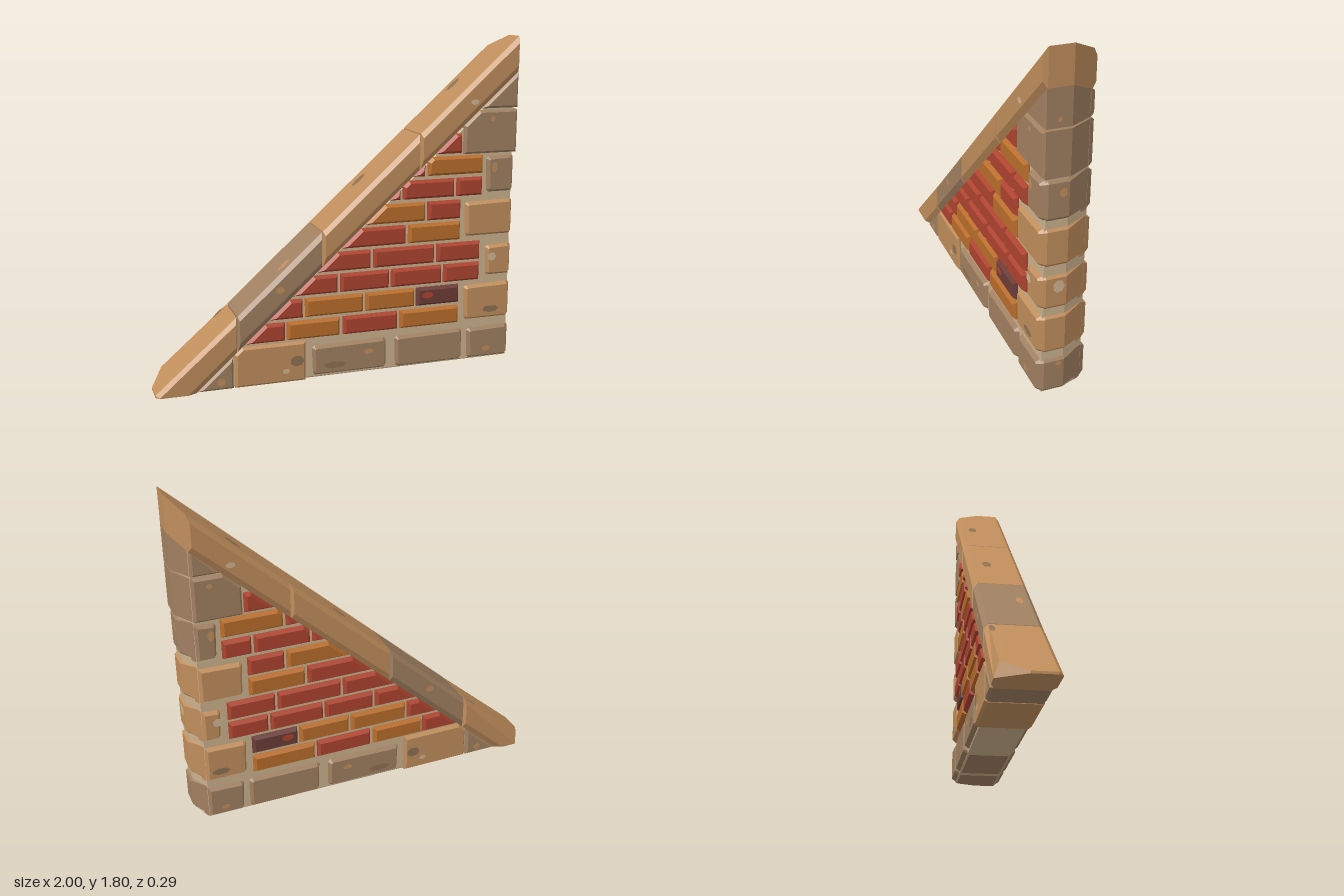
import * as THREE from 'three';

const mat = (name, color) => {
  const m = new THREE.MeshStandardMaterial({ color });
  m.name = name;
  return m;
};

const SLOPE = 0.9, UNDER = 0.71; // coping underside: y = 0.9x + 0.71
const DEPTH = { coping: 0.143, brick: 0.141, stone: 0.138, mortar: 0.115 };

// Cut a polygon off at the coping underside
function clip(pts) {
  const f = ([x, y]) => SLOPE * x + UNDER - y;
  const out = [];
  pts.forEach((p, i) => {
    const q = pts[(i + 1) % pts.length], a = f(p), b = f(q);
    if (a >= 0) out.push(p);
    if (a * b < 0) out.push([0, 1].map(k => p[k] + (q[k] - p[k]) * a / (a - b)));
  });
  return out;
}

// Move each edge of a counter-clockwise polygon inward by its own amount
function inset(pts, amounts) {
  const n = pts.length;
  const lines = pts.map((p, i) => {
    const q = pts[(i + 1) % n], l = Math.hypot(q[0] - p[0], q[1] - p[1]);
    const nx = (p[1] - q[1]) / l, ny = (q[0] - p[0]) / l;
    return [nx, ny, nx * p[0] + ny * p[1] + amounts[i]];
  });
  return pts.map((_, i) => {
    const [a, b, c] = lines[(i + n - 1) % n], [d, e, f] = lines[i];
    const det = a * e - b * d;
    return [(c * e - b * f) / det, (a * f - c * d) / det];
  });
}

// Bevelled block through the wall; both wall ends taper towards the back
function block(pts, depth, bevel, bevelZ, isCoping = false) {
  const n = pts.length;
  const small = inset(pts, Array.isArray(bevel) ? bevel : pts.map(() => bevel));
  const rings = [[small, depth], [pts, depth - bevelZ], [pts, 0], [pts, bevelZ - depth], [small, -depth]]
    .map(([ring, z]) => ring.map(([x, y]) => {
      const limit = 1 - 0.08 * Math.max(0, -z) / 0.14;
      const cx = Math.max(-limit, Math.min(limit, x));
      if (!isCoping) return [cx, Math.min(y, SLOPE * cx + UNDER), z];
      return [cx, y > 0.005 ? y + SLOPE * (cx - x) : y, z];
    }));
  const pos = [];
  const tri = (a, b, c) => pos.push(...a, ...b, ...c);
  for (let r = 0; r < 4; r++) {
    for (let i = 0; i < n; i++) {
      const j = (i + 1) % n, A = rings[r], B = rings[r + 1];
      tri(A[i], B[i], B[j]);
      tri(A[i], B[j], A[j]);
    }
  }
  for (let i = 1; i < n - 1; i++) {
    tri(rings[0][0], rings[0][i], rings[0][i + 1]);
    tri(rings[4][0], rings[4][i + 1], rings[4][i]);
  }
  const g = new THREE.BufferGeometry();
  g.setAttribute('position', new THREE.Float32BufferAttribute(pos, 3));
  g.computeVertexNormals();
  return g;
}

const rect = (x0, x1, y0, y1) => [[x0, y0], [x1, y0], [x1, y1], [x0, y1]];
// Rectangle with cut corners
const worn = (x0, x1, y0, y1, c = 0.02) => [
  [x0 + c, y0], [x1 - c * 0.8, y0], [x1, y0 + c], [x1, y1 - c],
  [x1 - c, y1], [x0 + c, y1 - c * 0.3], [x0, y1 - c], [x0 + c * 0.3, y0 + c]];

export function createModel() {
  const M = {
    light: mat('light sandstone', 0xc08e5c),
    dark: mat('dark sandstone', 0xa08061),
    mortar: mat('mortar', 0xcbb18d),
    red: mat('red brick', 0xad432f),
    orange: mat('orange brick', 0xb96d2b),
    burnt: mat('burnt brick', 0x6c3c38),
    pale: mat('pale fleck', 0xd2b694),
    stain: mat('stone stain', 0x8f7152),
  };
  const root = new THREE.Group();
  root.name = 'gableWall';
  const part = name => {
    const g = new THREE.Group();
    g.name = name;
    root.add(g);
    return g;
  };
  const add = (group, name, geo, material) => {
    const m = new THREE.Mesh(geo, material);
    m.name = name;
    group.add(m);
    return m;
  };

  // Mortar core
  add(root, 'mortarCore', block([[-0.78, 0.012], [0.983, 0.012], [0.983, 1.58]], DEPTH.mortar, 0.003, 0.003), M.mortar);

  // Sloping coping stones with vertical joints
  const coping = part('coping');
  const top = x => SLOPE * x + 0.9, low = x => SLOPE * x + UNDER;
  add(coping, 'copingFoot', block(
    [[-1, 0], [-0.789, 0], [-0.57, low(-0.57)], [-0.57, top(-0.57)], [-1, 0.012]],
    DEPTH.coping, [0, 0.03, 0.008, 0.02, 0.02], 0.022, true), M.light);
  [[-0.564, -0.106, M.dark], [-0.1, 0.437, M.light], [0.443, 1, M.light]].forEach(([a, b, m]) =>
    add(coping, 'copingStone', block([[a, low(a)], [b, low(b)], [b, top(b)], [a, top(a)]],
      DEPTH.coping, [0.03, 0.008, 0.022, 0.008], 0.022, true), m));

  // Brick courses: bottom, top, then [left, right, colour]; -1 runs into the coping
  const courses = [
    [0.235, 0.335, [-1, -0.31, 'red'], [-0.3, -0.01, 'orange'], [0.01, 0.32, 'red'], [0.335, 0.68, 'orange']],
    [0.353, 0.455, [-1, -0.213, 'red'], [-0.2, 0.123, 'orange'], [0.137, 0.418, 'orange'], [0.43, 0.68, 'burnt']],
    [0.473, 0.573, [-1, -0.02, 'red'], [-0.005, 0.27, 'red'], [0.283, 0.575, 'red'], [0.588, 0.8, 'red']],
    [0.59, 0.692, [-1, 0.165, 'red'], [0.18, 0.53, 'red'], [0.545, 0.8, 'red']],
    [0.709, 0.811, [-1, 0.363, 'red'], [0.378, 0.68, 'orange']],
    [0.827, 0.93, [-1, 0.473, 'orange'], [0.487, 0.68, 'red']],
    [0.95, 1.05, [-1, 0.33, 'red'], [0.345, 0.64, 'red'], [0.655, 0.805, 'red']],
    [1.07, 1.17, [-1, 0.47, 'red'], [0.485, 0.805, 'orange']],
    [1.185, 1.29, [-1, 0.68, 'red']],
  ];
  const bricks = part('bricks');
  courses.forEach(([y0, y1, ...row]) => row.forEach(([x0, x1, c]) =>
    add(bricks, c + 'Brick', block(clip(rect(x0, x1, y0, y1)), DEPTH.brick, 0.014, 0.02), M[c])));

  // Sharp-edged stones touching the coping
  const stones = part('stones');
  [[-1, -0.592, 0.005, 0.3, 'dark'], [-0.583, -0.2, 0.005, 0.222, 'light'],
    [0.69, 1, 1.178, 1.41, 'dark'], [-1, 1, 1.42, 1.7, 'dark']].forEach(([x0, x1, y0, y1, c]) =>
    add(stones, 'edgeStone', block(clip(rect(x0, x1, y0, y1)), DEPTH.stone, 0.012, 0.014), M[c]));

  // Worn stones of the base course and the right-hand end
  [[-0.17, 0.265, 0.015, 0.2, 'dark'], [0.3, 0.715, 0.01, 0.205, 'dark'], [0.73, 0.995, 0.01, 0.205, 'dark'],
    [0.705, 0.995, 0.238, 0.455, 'light'], [0.83, 0.995, 0.485, 0.675, 'light'],
    [0.7, 0.995, 0.715, 0.925, 'light'], [0.82, 0.995, 0.955, 1.17, 'dark']].forEach(([x0, x1, y0, y1, c]) =>
    add(stones, 'wornStone', block(worn(x0, x1, y0, y1), DEPTH.stone, 0.022, 0.035), M[c]));

  // Flat flecks and stains on front and back: x, y, width, height, colour, surface
  const marks = part('stains');
  const disc = new THREE.CircleGeometry(0.5, 7);
  [[0.74, 1.458, 0.05, 0.03, 'pale', 'coping'], [-0.34, 0.52, 0.05, 0.04, 'light', 'coping'],
    [0.85, 1.365, 0.03, 0.03, 'light', 'stone'], [-0.25, 0.12, 0.08, 0.06, 'stain', 'stone'],
    [-0.31, 0.07, 0.04, 0.03, 'pale', 'stone'], [-0.66, 0.05, 0.045, 0.045, 'light', 'stone'],
    [0.15, 0.13, 0.06, 0.03, 'light', 'stone'], [-0.04, 0.075, 0.13, 0.04, 'stain', 'stone'],
    [0.87, 1.1, 0.035, 0.06, 'light', 'stone'], [0.87, 0.6, 0.05, 0.05, 'pale', 'stone'],
    [0.87, 0.3, 0.1, 0.04, 'stain', 'stone'], [0.85, 0.07, 0.05, 0.03, 'light', 'stone'],
    [0.49, 0.415, 0.07, 0.04, 'red', 'brick']].forEach(([x, y, w, h, c, s]) => {
    for (const side of [1, -1]) {
      const m = add(marks, 'stain', disc, M[c]);
      m.position.set(side < 0 ? Math.min(x, 0.86) : x, y, side * (DEPTH[s] + 0.002));
      m.scale.set(w, h, 1);
      if (side < 0) m.rotation.y = Math.PI;
    }
  });

  // Stains on the sloping top: x, z, length, width, colour
  const flat = disc.clone().rotateX(-Math.PI / 2);
  [[-0.81, -0.06, 0.25, 0.08, 'stain'], [-0.88, -0.02, 0.1, 0.06, 'stain'], [-0.62, -0.11, 0.08, 0.03, 'stain'],
    [-0.3, 0.07, 0.09, 0.04, 'light'], [0.15, -0.04, 0.1, 0.05, 'stain'], [0.7, -0.06, 0.1, 0.05, 'stain']]
    .forEach(([x, z, l, w, c]) => {
      const m = add(marks, 'topStain', flat, M[c]);
      m.position.set(x, top(x) + 0.005, z);
      m.scale.set(l, 1, w);
      m.rotation.z = Math.atan(SLOPE);
    });

  // Flecks on the right-hand end: y, z, height, width, colour
  const end = disc.clone().rotateY(Math.PI / 2);
  [[1.46, 0.06, 0.03, 0.02, 'light'], [1.1, 0.03, 0.05, 0.04, 'light'], [0.61, 0.04, 0.07, 0.06, 'pale'],
    [0.17, 0.03, 0.03, 0.03, 'light']].forEach(([y, z, h, w, c]) => {
    const m = add(marks, 'endFleck', end, M[c]);
    m.position.set(y > 1.2 ? 1.001 : 0.997, y, z);
    m.scale.set(1, h, w);
  });

  return root;
}
